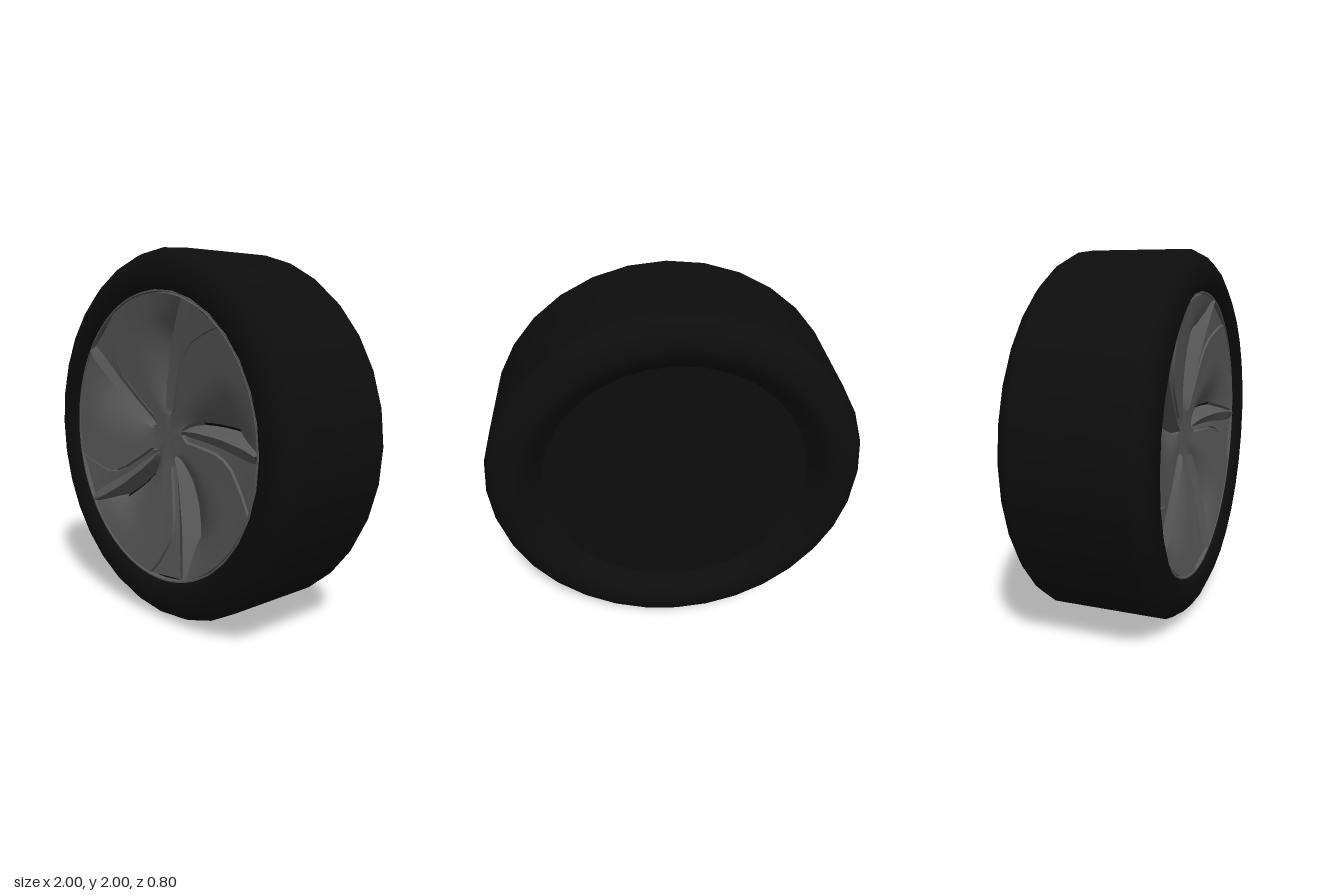
import * as THREE from 'three';
import { toCreasedNormals } from 'three/addons/utils/BufferGeometryUtils.js';

const RAD = Math.PI / 180;

// Lathe turned so that its axis lies along z; points are [radius, z]
function lathe(points, segments) {
  const g = new THREE.LatheGeometry(points.map(([r, z]) => new THREE.Vector2(r, z)), segments);
  return g.rotateX(Math.PI / 2);
}

// Rows of one sector: radius, angles of groove, channel, ridge and blade lip (degrees), dip of the lip
const ROWS = [
  [0, 8, 11, 14, 17, 0],
  [0.12, 8, 11, 14, 17, 0],
  [0.135, 0, 9, 16, 22, 0.005],
  [0.17, -7, 5, 15, 25, 0.015],
  [0.22, -6, 3, 12.5, 24, 0.03],
  [0.28, -5.5, 2, 10.5, 21, 0.05],
  [0.35, -5.5, 1, 8, 17, 0.065],
  [0.42, -5.5, 0, 6.5, 14, 0.075],
  [0.5, -7, -1, 5, 11.5, 0.075],
  [0.57, -10, -2, 3.5, 10, 0.065],
  [0.62, -13.5, -2.5, 2.7, 7, 0.04],
  [0.69, -18, -3, 1.5, 4, 0.015],
  [0.765, -22.5, -3, 0, 1.5, 0],
];
const BLADE_STEPS = [0.07, 0.14, 0.22, 0.31, 0.42, 0.54, 0.66, 0.78, 0.89, 1];
const SLIT_COLUMN = 5;

// Cross-section of a sector at one radius, as [x, y, z] points
function section([r, groove, channel, ridge, lip, dip], turn) {
  const base = 0.26 + 0.085 * Math.max(0, (r - 0.12) / 0.645);
  const k = r > 0.125 ? 1 : 0;
  const w = Math.min(r ? 0.012 / r / RAD : 99, (channel - groove) * 0.6);
  const cols = [
    [groove, base],
    [groove + w / 2, base - 0.022 * k],
    [groove + w, base - 0.008 * k],
    [channel, base - 0.014 * k],
    [ridge, base + 0.012 * k],
    [ridge + (lip - ridge) * 0.7, base - dip - 0.02 * k],
    [lip, base - dip],
  ];
  // The blade rises smoothly from the lip to the next groove
  for (const f of BLADE_STEPS) {
    const fall = Math.max(0, 1 - f / 0.6);
    cols.push([lip + (groove + 72 - lip) * f, base - dip * fall * fall]);
  }
  return cols.map(([a, z]) => [r * Math.cos((a + turn) * RAD), r * Math.sin((a + turn) * RAD), z]);
}

function meshFrom(positions, material, name) {
  const g = new THREE.BufferGeometry();
  g.setAttribute('position', new THREE.Float32BufferAttribute(positions, 3));
  const mesh = new THREE.Mesh(toCreasedNormals(g, 25 * RAD), material);
  mesh.name = name;
  return mesh;
}

export function createModel() {
  const rubber = new THREE.MeshStandardMaterial({ color: 0x0d0d0d });
  rubber.name = 'black rubber';
  const metal = new THREE.MeshStandardMaterial({ color: 0x585858 });
  metal.name = 'dark grey metal';

  const model = new THREE.Group();
  model.name = 'wheel';
  const wheel = new THREE.Group();
  wheel.name = 'wheelAssembly';
  wheel.position.y = 1;
  model.add(wheel);
  const add = (geometry, material, name) => {
    const mesh = new THREE.Mesh(geometry, material);
    mesh.name = name;
    wheel.add(mesh);
    return mesh;
  };

  // Tyre with rounded shoulders and bevelled inner lips
  add(lathe([
    [0.71, -0.29], [0.755, -0.33], [0.785, -0.36], [0.85, -0.4], [0.94, -0.36], [0.98, -0.32], [1, -0.28],
    [1, 0.28], [0.98, 0.32], [0.94, 0.36], [0.85, 0.4], [0.785, 0.35], [0.775, 0.3], [0.77, 0.16],
  ], 32), rubber, 'tyre');

  // Closed back and dark backing behind the slits
  const back = add(new THREE.CircleGeometry(0.715, 32), rubber, 'backDisc');
  back.rotation.y = Math.PI;
  back.position.z = -0.29;
  add(new THREE.CircleGeometry(0.775, 32), rubber, 'innerDisc').position.z = 0.17;

  // Five-bladed cover
  const blades = [], slits = [];
  for (let s = 0; s < 5; s++) {
    const grid = ROWS.map((row) => section(row, s * 72));
    for (let j = 0; j < grid.length - 1; j++) {
      const open = ROWS[j][0] >= 0.28 && ROWS[j][0] < 0.57;
      for (let i = 0; i < grid[j].length - 1; i++) {
        const a = grid[j][i], b = grid[j + 1][i], c = grid[j + 1][i + 1], d = grid[j][i + 1];
        const target = open && i === SLIT_COLUMN ? slits : blades;
        target.push(...a, ...b, ...c);
        if (j > 0) target.push(...a, ...c, ...d);
      }
    }
  }
  wheel.add(meshFrom(blades, metal, 'bladeCover'));
  wheel.add(meshFrom(slits, rubber, 'airSlits'));

  // Thin rim lip with a seam around the cover
  const rim = lathe([[0.785, 0.335], [0.78, 0.348], [0.772, 0.348], [0.768, 0.325], [0.764, 0.345]], 80);
  add(toCreasedNormals(rim, 30 * RAD), metal, 'rimLip');

  return model;
}
